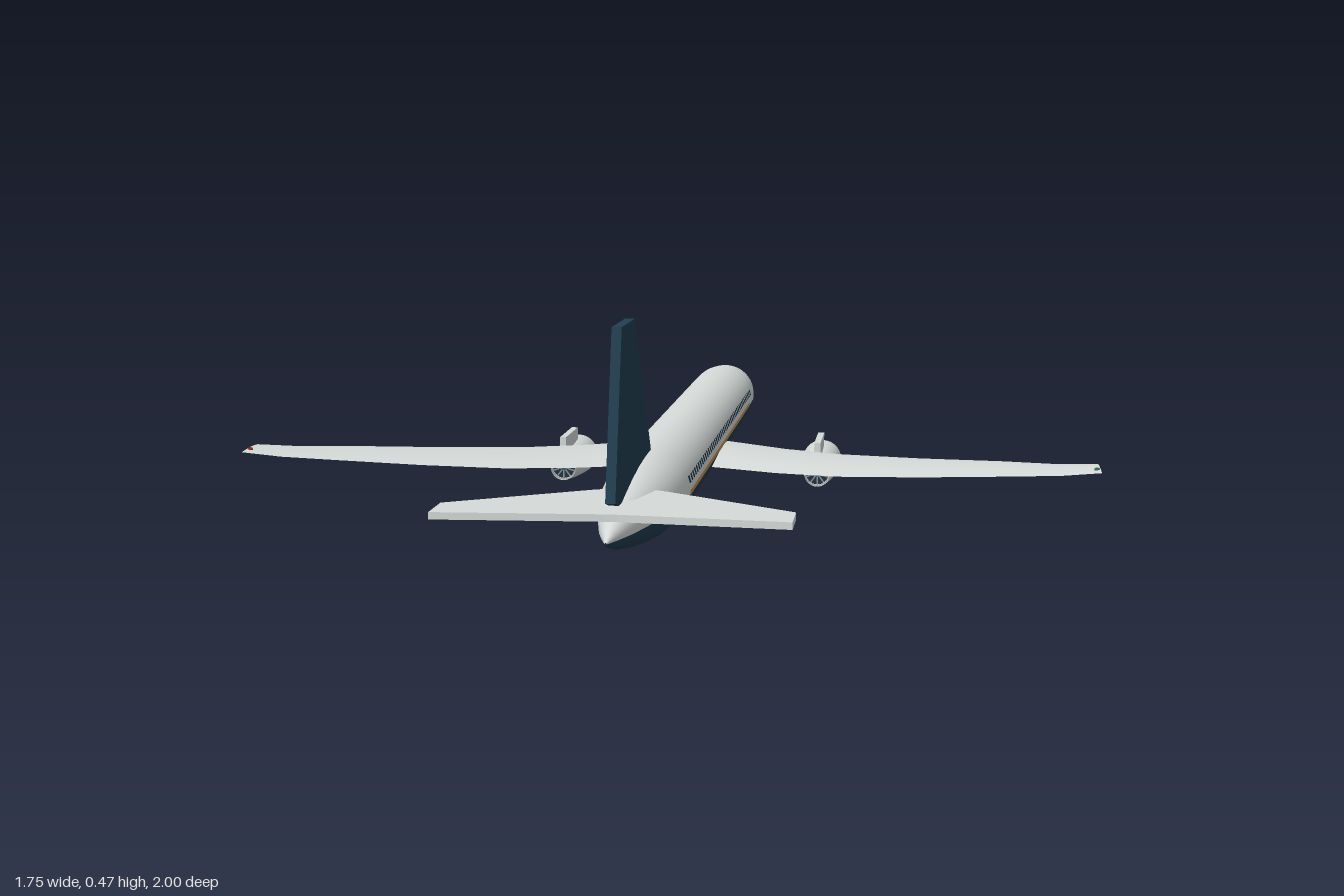
import * as THREE from 'three';
import { mergeGeometries } from 'three/addons/utils/BufferGeometryUtils.js';

const mat = (name, color, side = THREE.FrontSide) => {
  const m = new THREE.MeshStandardMaterial({ color, side });
  m.name = name;
  return m;
};

// Fuselage sections: z, half width, half height
const CENTRE_Y = 0.121;
const SECTIONS = [
  [-1, 0.002, 0.002], [-0.985, 0.014, 0.014], [-0.96, 0.028, 0.027], [-0.92, 0.045, 0.044],
  [-0.87, 0.062, 0.061], [-0.82, 0.074, 0.071], [-0.76, 0.08, 0.077], [-0.68, 0.081, 0.078],
  [0.5, 0.081, 0.078], [0.58, 0.078, 0.076], [0.66, 0.072, 0.071], [0.74, 0.061, 0.061],
  [0.82, 0.046, 0.048], [0.9, 0.03, 0.032], [0.96, 0.014, 0.016], [1, 0.002, 0.002],
];

// Point on the hull; angle runs from the top towards +x
function hullPoint(z, angle, lift = 0) {
  let i = 0;
  while (i < SECTIONS.length - 2 && z > SECTIONS[i + 1][0]) i++;
  const [z0, w0, h0] = SECTIONS[i], [z1, w1, h1] = SECTIONS[i + 1];
  const t = (z - z0) / (z1 - z0);
  return [
    (w0 + (w1 - w0) * t + lift) * Math.sin(angle),
    CENTRE_Y + (h0 + (h1 - h0) * t + lift) * Math.cos(angle),
    z,
  ];
}

// Surface through rows of points
function grid(rows, flip = false) {
  const n = rows[0].length, index = [];
  for (let i = 0; i < rows.length - 1; i++) {
    for (let j = 0; j < n - 1; j++) {
      const a = i * n + j, b = a + n, c = a + 1, d = b + 1;
      if (flip) index.push(a, c, b, c, d, b);
      else index.push(a, b, c, c, b, d);
    }
  }
  const g = new THREE.BufferGeometry();
  g.setAttribute('position', new THREE.Float32BufferAttribute(rows.flat(2), 3));
  g.setIndex(index);
  g.computeVertexNormals();
  return g;
}

// Patch of the hull between two angles in degrees
function hullPatch(zs, deg0, deg1, steps, lift) {
  return grid(zs.map((z) => Array.from({ length: steps + 1 }, (_, j) =>
    hullPoint(z, THREE.MathUtils.degToRad(deg0 + (deg1 - deg0) * j / steps), lift))));
}

// Wing stations: x, leading z, trailing z, y, thickness
const WING = [
  [0, -0.22, 0.1, 0.092, 0.034], [0.085, -0.18, 0.125, 0.094, 0.032], [0.22, -0.085, 0.19, 0.097, 0.026],
  [0.35, 0, 0.25, 0.104, 0.02], [0.52, 0.08, 0.288, 0.114, 0.016], [0.69, 0.16, 0.325, 0.127, 0.012],
  [0.8, 0.237, 0.36, 0.138, 0.009], [0.875, 0.29, 0.385, 0.15, 0.006],
];

function wingGeometry(side) {
  const N = 8;
  const skin = (s, up) => Array.from({ length: N + 1 }, (_, j) => {
    const t = (j / N) ** 1.6;
    const [x, z0, z1, y, th] = s;
    const half = th * 0.5 * Math.min(1, 2.2 * Math.sqrt(t) * (1 - t) ** 0.7);
    return [side * x, y + up * half, z0 + (z1 - z0) * t];
  });
  const tip = WING[WING.length - 1];
  return mergeGeometries([
    grid(WING.map((s) => skin(s, 1)), side > 0),
    grid(WING.map((s) => skin(s, -1)), side < 0),
    grid([skin(tip, 1), skin(tip, -1)], side > 0),
  ]);
}

export function createModel() {
  const white = mat('pale grey paint', 0xd6dbda, THREE.DoubleSide);
  const navy = mat('navy paint', 0x213e50);
  const glass = mat('dark glass', 0x1b3648);
  const orange = mat('orange stripe', 0xcf9150);
  const dark = mat('engine dark', 0x26333c);
  const steel = mat('steel', 0x8496a3);
  const red = mat('red light', 0x8c2a2a);
  const green = mat('green light', 0x2a6b45);

  const model = new THREE.Group();
  model.name = 'airliner';
  const add = (name, geometry, material, parent = model) => {
    const m = new THREE.Mesh(geometry, material);
    m.name = name;
    parent.add(m);
    return m;
  };

  // Hull: pale upper shell and navy belly
  const stations = SECTIONS.map((s) => s[0]);
  add('upperFuselage', hullPatch(stations, -97, 97, 32, 0), white);
  add('belly', hullPatch(stations, 97, 263, 28, 0), navy);

  // Cabin windows and side stripes
  const windows = [];
  for (const s of [-1, 1]) {
    const band = (zs, a, b, lift) => s > 0 ? hullPatch(zs, a, b, 1, lift) : hullPatch(zs, -b, -a, 1, lift);
    for (let i = 0; i < 43; i++) {
      const z = -0.66 + i * 0.028;
      windows.push(band([z - 0.008, z + 0.008], 69, 79, 0.003));
    }
    add('sideStripe', band([-0.63, 0.5, 0.52], 89, 96, 0.002), orange);
  }
  add('cabinWindows', mergeGeometries(windows), glass);

  // Cockpit panes on one side of the nose
  const panes = [];
  for (let i = 0; i < 2; i++) {
    for (let j = 0; j < 3; j++) {
      const z = -0.892 + i * 0.039, a = -72 + j * 23;
      const zs = z < -0.87 ? [z, -0.87, z + 0.036] : [z, -0.82, z + 0.037];
      panes.push(hullPatch(zs, a, a + 20, 4, 0.003));
    }
  }
  add('cockpitWindows', mergeGeometries(panes), glass);

  // Tail fin
  const poly = (pts) => new THREE.Shape(pts.map(([x, y]) => new THREE.Vector2(x, y)));
  const fin = new THREE.ExtrudeGeometry(
    poly([[-0.92, 0.174], [-0.8, 0.14], [-0.56, 0.16], [-0.51, 0.198], [-0.7, 0.474], [-0.845, 0.474]]),
    { depth: 0.018, bevelEnabled: false });
  fin.rotateY(Math.PI / 2).translate(-0.015, 0, 0);
  add('tailFin', fin, navy);

  // Tailplane, both halves in one plate
  const half = [[0.03, -0.725], [0.07, -0.745], [0.315, -0.895], [0.315, -0.977], [0.01, -0.955]];
  const tailplane = new THREE.ExtrudeGeometry(
    poly([...half, ...half.map(([x, y]) => [-x, y]).reverse()]), { depth: 0.013, bevelEnabled: false });
  tailplane.rotateX(-Math.PI / 2).translate(0, 0.15, 0);
  add('tailplane', tailplane, white);

  // Engine parts, axis along z, front towards -z
  const nacelle = new THREE.LatheGeometry([
    [0.025, -0.09], [0.029, -0.1], [0.037, -0.03], [0.043, 0.04], [0.045, 0.075], [0.0445, 0.095],
    [0.042, 0.102], [0.039, 0.095], [0.036, 0.05], [0.03, -0.03], [0.025, -0.09],
  ].map(([r, y]) => new THREE.Vector2(r, y)), 28).rotateX(-Math.PI / 2);
  const disc = (r, z) => new THREE.CylinderGeometry(r, r, 0.006, 24).rotateX(Math.PI / 2).translate(0, 0, z);
  const bladeRing = (r, z, count) => mergeGeometries(Array.from({ length: count }, (_, i) =>
    new THREE.BoxGeometry(0.003, r * 0.75, 0.004).translate(0, r * 0.58, z).rotateZ(i * Math.PI * 2 / count)));
  const spinner = new THREE.CylinderGeometry(0.006, 0.011, 0.035, 16).rotateX(-Math.PI / 2).translate(0, 0, -0.105);
  const cone = new THREE.ConeGeometry(0.01, 0.02, 16).rotateX(Math.PI / 2).translate(0, 0, 0.098);

  for (const s of [-1, 1]) {
    const sideName = s > 0 ? 'left' : 'right';
    add(sideName + 'Wing', wingGeometry(s), white);
    const lamp = add(sideName + 'TipLight', new THREE.SphereGeometry(0.006, 10, 8), s > 0 ? green : red);
    lamp.position.set(s * 0.868, 0.15, 0.355);

    const engine = new THREE.Group();
    engine.name = sideName + 'Engine';
    engine.position.set(s * 0.29, 0.046, -0.18);
    add('nacelle', nacelle, white, engine);
    add('fanDisc', disc(0.038, -0.085), dark, engine);
    add('fanBlades', bladeRing(0.038, -0.09, 12), steel, engine);
    add('spinner', spinner, steel, engine);
    add('exhaustDisc', disc(0.026, 0.088), dark, engine);
    add('exhaustVanes', bladeRing(0.026, 0.092, 10), steel, engine);
    add('exhaustCone', cone, steel, engine);
    add('pylon', new THREE.BoxGeometry(0.014, 0.045, 0.14), white, engine).position.set(0, 0.048, 0.028);
    model.add(engine);
  }
  return model;
}
